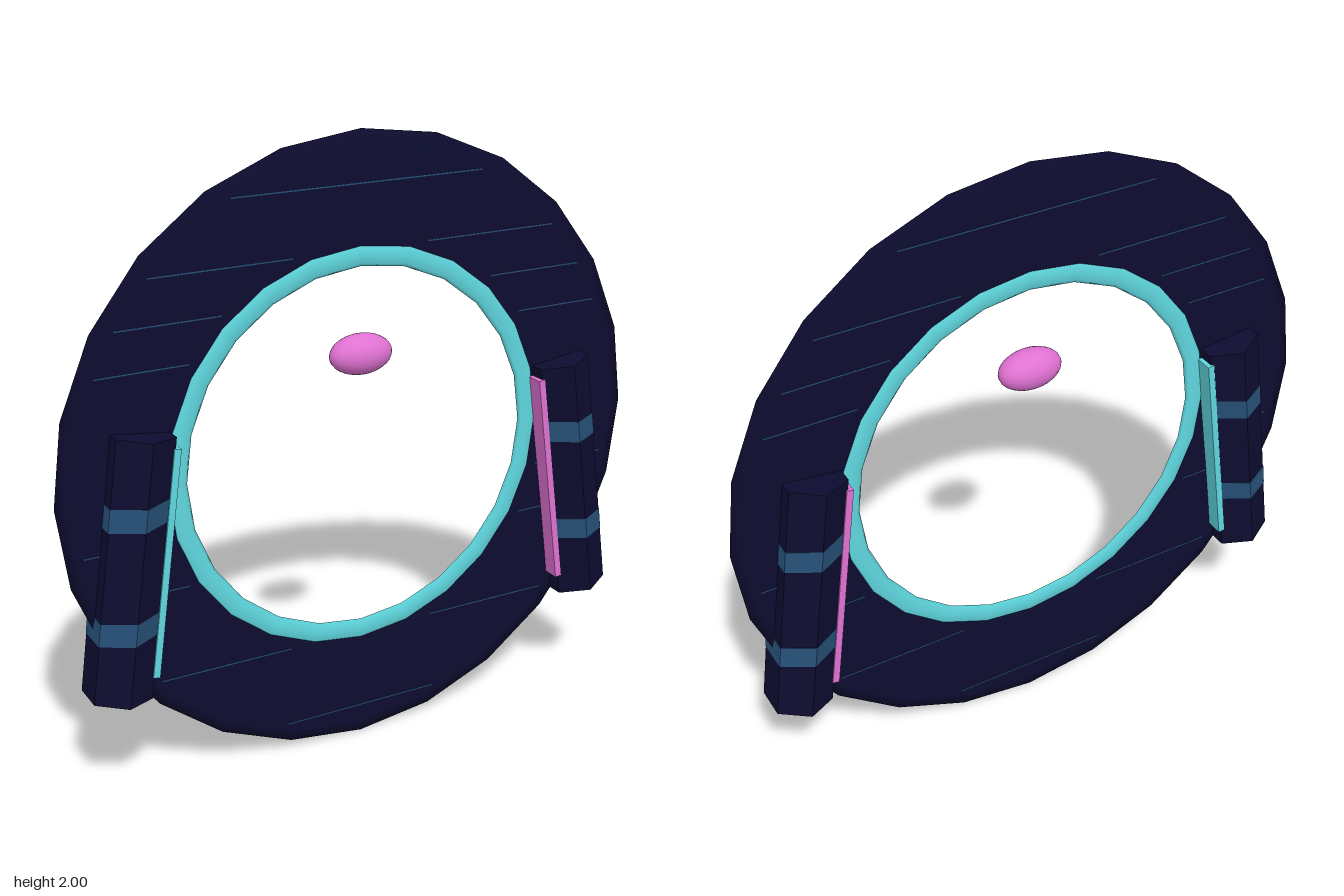
import * as THREE from 'three';

const mat = (name, color) => {
  const m = new THREE.MeshStandardMaterial({ color });
  m.name = name;
  return m;
};

export function createModel() {
  const group = new THREE.Group();
  const navy = mat('navy', 0x0d0c30);
  const blue = mat('bandBlue', 0x265078);
  const teal = mat('teal', 0x5fd6de);
  const pink = mat('pink', 0xe072d2);

  const add = (name, geometry, material, x = 0, y = 0, z = 0, parent = group) => {
    const mesh = new THREE.Mesh(geometry, material);
    mesh.name = name;
    mesh.position.set(x, y, z);
    parent.add(mesh);
    return mesh;
  };

  // Flattened gate ring and its bright inner rim
  const flatTorus = (radius, tube, sides, halfDepth) =>
    new THREE.TorusGeometry(radius, tube, sides, 24).scale(1, 1, halfDepth / tube);
  add('gateRing', flatTorus(0.81, 0.19, 10, 0.007), navy, 0, 1);
  add('innerRim', flatTorus(0.622, 0.034, 8, 0.0095), teal, 0, 1);

  // Hairline seams across the ring, broken by the opening
  const chord = (r, h) => Math.sqrt(Math.max(0, r * r - h * h));
  for (const y of [1.84, 1.64, 1.5, 1.37, 0.83, 0.67, 0.37, 0.1]) {
    const outer = chord(0.94, y - 1), inner = chord(0.68, y - 1);
    for (const side of [-1, 1]) {
      const seam = new THREE.BoxGeometry(outer - inner, 0.004, 0.0145);
      add('ringSeam', seam, blue, side * (outer + inner) / 2, y);
    }
  }

  // Leaning hexagonal side posts with level bands and a light strip
  const tilt = 0.138;
  for (const side of [-1, 1]) {
    const post = new THREE.Group();
    post.name = side > 0 ? 'leftPost' : 'rightPost';
    group.add(post);

    const shaft = new THREE.CylinderGeometry(0.108, 0.108, 0.832, 6).toNonIndexed();
    shaft.computeVertexNormals();
    add('postShaft', shaft, navy, side * 0.786, 0.775, 0, post).rotation.z = side * tilt;

    for (const y of [0.955, 0.6]) {
      const band = new THREE.CylinderGeometry(0.1095, 0.1095, 0.072, 6).toNonIndexed();
      const lean = -side * Math.tan(tilt);
      band.applyMatrix4(new THREE.Matrix4().set(1.01, lean, 0, 0, 0, 1, 0, 0, 0, 0, 1, 0, 0, 0, 0, 1));
      band.computeVertexNormals();
      add('postBand', band, blue, side * 0.786 + lean * (y - 0.775), y, 0, post);
    }

    const strip = new THREE.BoxGeometry(0.022, 0.727, 0.126);
    add('lightStrip', strip, side > 0 ? pink : teal, side * 0.687, 0.78, 0, post).rotation.z = side * tilt;
  }

  // Floating oval gem
  add('floatingGem', new THREE.SphereGeometry(1, 24, 16).scale(0.105, 0.064, 0.063), pink, 0, 1.313);

  return group;
}
